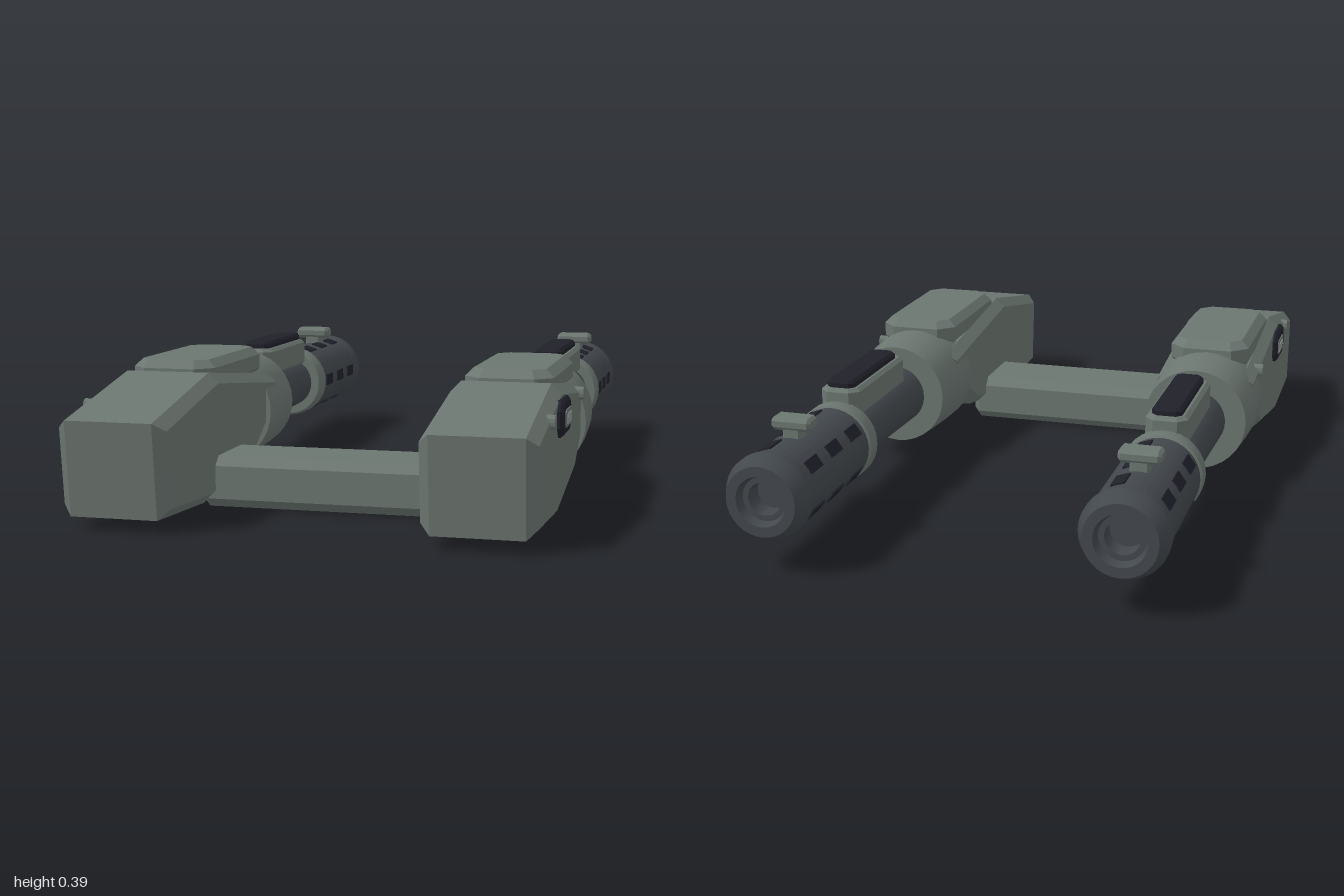
import * as THREE from 'three';
import { toCreasedNormals } from 'three/addons/utils/BufferGeometryUtils.js';

const mat = (name, color) => {
  const m = new THREE.MeshStandardMaterial({ color });
  m.name = name;
  return m;
};

// Polygon extruded to a total depth with chamfered rims, centred on the extrusion axis
function prism(points, depth, bevel) {
  const shape = new THREE.Shape(points.map(([x, y]) => new THREE.Vector2(x, y)));
  const geo = new THREE.ExtrudeGeometry(shape, {
    depth: depth - 2 * bevel, bevelEnabled: true, bevelSegments: 1,
    bevelSize: bevel, bevelThickness: bevel, bevelOffset: -bevel,
  });
  return geo.translate(0, 0, bevel - depth / 2);
}

// Rectangle with cut corners
const octagon = (w, h, c) => [
  [w / 2 - c, -h / 2], [w / 2, -h / 2 + c], [w / 2, h / 2 - c], [w / 2 - c, h / 2],
  [-w / 2 + c, h / 2], [-w / 2, h / 2 - c], [-w / 2, -h / 2 + c], [-w / 2 + c, -h / 2],
];

// Profile in (z, y) extruded along x
const sideways = (points, depth, bevel) => prism(points, depth, bevel).rotateY(-Math.PI / 2);

// Cut-corner plate lying flat, thick in y
const flatPlate = (w, l, t, cut, bevel) => prism(octagon(w, l, cut), t, bevel).rotateX(Math.PI / 2);

// Turned part along -z from (radius, distance) pairs
function turned(pairs) {
  const geo = new THREE.LatheGeometry(pairs.map(([r, t]) => new THREE.Vector2(r, t)), 32);
  return toCreasedNormals(geo.rotateX(-Math.PI / 2), 0.5);
}

export function createModel() {
  const grey = mat('grey green armour', 0x6c7671);
  const steel = mat('dark steel', 0x43484d);
  const black = mat('black inserts', 0x20202a);
  const pale = mat('pale slot', 0x8b9591);

  const model = new THREE.Group();
  model.name = 'twinCannon';
  const add = (parent, name, geo, material, x = 0, y = 0, z = 0) => {
    const mesh = new THREE.Mesh(geo, material);
    mesh.name = name;
    mesh.position.set(x, y, z);
    parent.add(mesh);
    return mesh;
  };

  // Cross beam joining both guns
  add(model, 'crossBeam', sideways(octagon(0.235, 0.14, 0.025), 0.73, 0.02), grey, 0, 0.072, 0.513);

  const axisY = 0.207;
  const bodyProfile = [
    [1.0, 0.285], [0.6, 0.366], [0.08, 0.307], [0.08, 0.215],
    [0.2, 0.143], [0.3, 0.08], [0.65, 0.018], [0.975, 0.036],
  ];

  for (const side of [-1, 1]) {
    const gun = new THREE.Group();
    gun.name = side > 0 ? 'leftGun' : 'rightGun';
    gun.position.x = side * 0.465;
    model.add(gun);

    // Housing and top hatch
    add(gun, 'housing', sideways(bodyProfile.slice().reverse(), 0.29, 0.028), grey);
    add(gun, 'topHatch', flatPlate(0.235, 0.465, 0.085, 0.045, 0.022), grey, 0, 0.3525, 0.36);

    // Collar, barrel, ring and hollow muzzle
    add(gun, 'collar', turned([[0, -0.2], [0.16, -0.2], [0.158, -0.1], [0.149, 0.045], [0.088, 0.045]]), grey, 0, axisY);
    add(gun, 'barrel', turned([[0.089, 0.03], [0.079, 0.5]]), steel, 0, axisY);
    add(gun, 'muzzleRing', turned([[0.07, 0.475], [0.106, 0.475], [0.113, 0.49], [0.113, 0.535], [0.104, 0.54]]), grey, 0, axisY);
    add(gun, 'muzzle', turned([
      [0.107, 0.53], [0.107, 0.92], [0.115, 0.935], [0.115, 0.958], [0.095, 1.0],
      [0.068, 1.0], [0.06, 0.975], [0.045, 0.975], [0.045, 0.92], [0, 0.92],
    ]), steel, 0, axisY);

    // Five rows of cooling vents around the muzzle
    for (let i = 0; i < 5; i++) {
      const a = (i * Math.PI * 2) / 5;
      for (const z of [-0.6, -0.73, -0.86]) {
        const vent = add(gun, 'vent', new THREE.BoxGeometry(0.009, 0.036, 0.07), black,
          Math.cos(a) * 0.1055, axisY + Math.sin(a) * 0.1055, z);
        vent.rotation.z = a;
      }
    }

    // Rail on the barrel with its dark strip
    add(gun, 'railBase', flatPlate(0.115, 0.385, 0.085, 0.025, 0.01), grey, 0, 0.313, -0.302);
    add(gun, 'railStrip', flatPlate(0.082, 0.34, 0.03, 0.015, 0.008), black, 0, 0.361, -0.31);

    // Front sight: stem and crossbar
    add(gun, 'sightStem', sideways(octagon(0.05, 0.08, 0.008), 0.05, 0.005), grey, 0, 0.32, -0.778);
    add(gun, 'sightBar', sideways(octagon(0.062, 0.036, 0.01), 0.11, 0.008), grey, 0, 0.35, -0.778);

    // Outer side window with pale slot
    add(gun, 'windowFrame', sideways(octagon(0.165, 0.095, 0.025), 0.03, 0.008), black, side * 0.145, 0.282, 0.598);
    add(gun, 'windowSlot', sideways(octagon(0.1, 0.046, 0.008), 0.008, 0.001), grey, side * 0.159, 0.28, 0.588);
    add(gun, 'windowGlint', new THREE.BoxGeometry(0.004, 0.026, 0.07), pale, side * 0.163, 0.278, 0.585);

    // Outer bolts
    for (const z of [0.785, 0.228]) {
      const bolt = new THREE.CylinderGeometry(0.018, 0.018, 0.03, 12).rotateZ(Math.PI / 2);
      add(gun, 'bolt', toCreasedNormals(bolt, 0.7), grey, side * 0.142, 0.294, z);
    }
  }
  return model;
}
